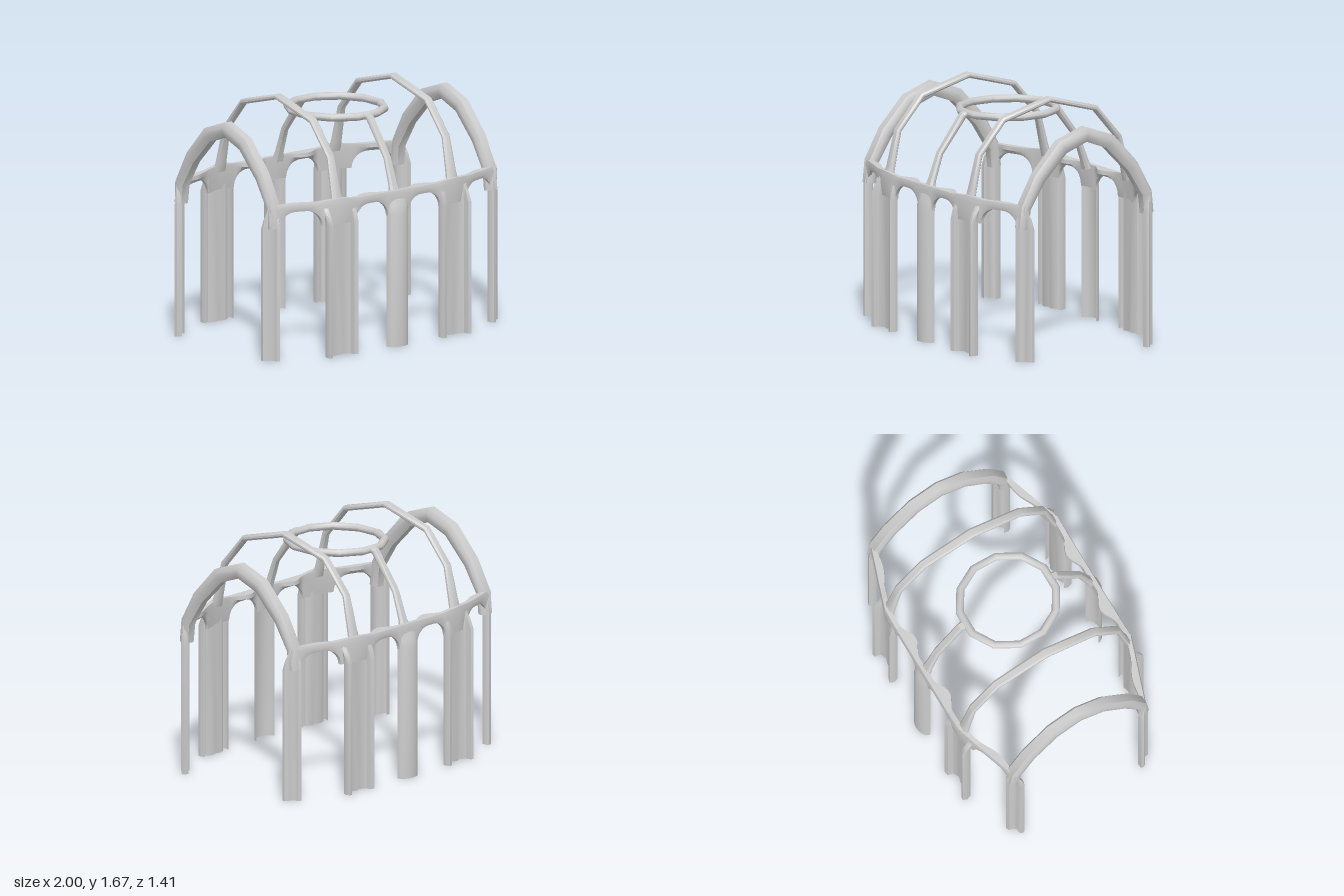
import * as THREE from 'three';
import { toCreasedNormals } from 'three/addons/utils/BufferGeometryUtils.js';

const material = new THREE.MeshStandardMaterial({ color: 0xcccccc, side: THREE.DoubleSide });

// Skin a list of cross-sections (each a list of [x, y, z]); closed sections also get end caps.
function loft(name, sections, closed, crease = 0.7) {
  const n = sections[0].length, pos = sections.flat(2), idx = [];
  for (let i = 0; i < sections.length - 1; i++) {
    for (let j = 0; j < (closed ? n : n - 1); j++) {
      const a = i * n + j, b = i * n + (j + 1) % n;
      idx.push(a, b, b + n, a, b + n, a + n);
    }
  }
  if (closed) {
    const last = (sections.length - 1) * n;
    for (let j = 1; j < n - 1; j++) idx.push(0, j + 1, j, last, last + j, last + j + 1);
  }
  const geo = new THREE.BufferGeometry();
  geo.setAttribute('position', new THREE.Float32BufferAttribute(pos, 3));
  geo.setIndex(idx);
  geo.computeVertexNormals();
  const mesh = new THREE.Mesh(toCreasedNormals(geo, crease), material);
  mesh.name = name;
  return mesh;
}

// Bar with a chamfered section swept along [z, y, width, depth] points in a plane of constant x.
function bar(name, x, path) {
  const profile = [[-1, -0.35], [-0.6, -1], [0.6, -1], [1, -0.35], [1, 0.35], [0.6, 1], [-0.6, 1], [-1, 0.35]];
  const sections = path.map(([z, y, w, d], i) => {
    const p = path[Math.max(i - 1, 0)], q = path[Math.min(i + 1, path.length - 1)];
    const t = new THREE.Vector2(q[0] - p[0], q[1] - p[1]).normalize();
    return profile.map(([u, v]) => [x + u * w / 2, y + v * t.x * d / 2, z - v * t.y * d / 2]);
  });
  return loft(name, sections, true);
}

// Mirror a half path (from z > 0 up to z = 0) into a whole arch.
const wholeArch = half => [...half, ...half.slice(0, -1).reverse().map(([z, ...rest]) => [-z, ...rest])];

// Plan line of the side beam: straight in the middle, folding in towards the ends.
const planZ = x => {
  const a = Math.abs(x);
  return a < 0.49 ? 0.65 : 0.65 - (a - 0.49) * 0.34;
};

// Open-backed column shell whose top draws in to the beam.
function column(name, points) {
  const rows = [[0, 0], [0.9, 0], [0.96, 0.3], [1.0, 0.65], [1.04, 0.95]];
  return loft(name, rows.map(([y, k]) => points.map(([x, z]) => {
    const tx = Math.min(Math.max(x, -0.965), 0.965);
    return [x + (tx - x) * k, y, z + (planZ(tx) - z) * k];
  })), false, 0.9);
}

// Beam with rounded arch openings between the columns and a broad inner lip in each bay.
function beam() {
  const bays = [[-0.9, -0.61], [-0.36, -0.085], [0.085, 0.36], [0.61, 0.9]];
  const steps = 18, r = 0.11, stations = [[-0.965, 0.9, 0]];
  bays.forEach(([a, b], k) => {
    for (let i = 0; i <= steps; i++) {
      const t = (1 - Math.cos(Math.PI * i / steps)) / 2;
      const x = a + (b - a) * t;
      const d = Math.min(x - a, b - x, r);
      const low = 0.895 + r * Math.sqrt(Math.max(0, 1 - ((r - d) / r) ** 2));
      const lip = Math.sin(Math.PI * t) ** 2 * (k === 1 || k === 2 ? 0.05 : 0.02);
      stations.push([x, low, lip]);
    }
    const next = bays[k + 1];
    if (next) stations.push([(b + next[0]) / 2, 0.9, 0]);
  });
  stations.push([0.965, 0.9, 0]);
  const sections = stations.map(([x, low, lip]) => {
    const z = planZ(x), a = Math.abs(x);
    const top = 1.058 + 0.015 * Math.max(0, 1 - Math.abs(a - 0.49) / 0.15);
    const mid = Math.max(1.03, low + 0.012);
    return [
      [x, top, z + 0.012], [x, mid, z + 0.02], [x, low, z + 0.012],
      [x, low, z - 0.012], [x, mid, z - 0.022 - lip], [x, top, z - 0.02 - lip],
    ];
  });
  return loft('beam', sections, true, 0.8);
}

// One long side: five columns, the beam and the centre arm.
function createSide(name) {
  const side = new THREE.Group();
  side.name = name;
  side.add(beam());

  // Bowed centre column
  const bow = [];
  for (let i = 0; i <= 10; i++) {
    const a = Math.PI * (1 - i / 10);
    bow.push([0.087 * Math.cos(a), 0.645 + 0.06 * Math.sin(a)]);
  }
  side.add(column('centreColumn', bow));

  // Fluted columns with a raised rib along each edge
  const fluted = [
    [-0.122, 0.64], [-0.13, 0.67], [-0.12, 0.698], [-0.09, 0.69], [-0.085, 0.655], [-0.045, 0.632],
    [0, 0.645], [0.045, 0.632], [0.085, 0.65], [0.09, 0.69], [0.112, 0.695], [0.122, 0.665], [0.112, 0.635],
  ];
  // Corner columns, hollowed on the outer corner
  const corner = [
    [0.9, 0.49], [0.898, 0.525], [0.91, 0.543], [0.935, 0.535], [0.938, 0.505], [0.955, 0.485],
    [0.982, 0.485], [0.998, 0.47], [0.995, 0.448], [0.96, 0.442],
  ];
  for (const s of [-1, 1]) {
    side.add(column('flutedColumn', fluted.map(([x, z]) => [s * (0.485 + x), z])));
    side.add(column('cornerColumn', corner.map(([x, z]) => [s * x, z])));
  }

  // Arm rising from the beam to the ring
  side.add(bar('ringArm', 0, [
    [0.625, 1.03, 0.085, 0.05], [0.605, 1.09, 0.065, 0.04], [0.545, 1.26, 0.055, 0.035],
    [0.36, 1.5, 0.055, 0.045], [0.31, 1.507, 0.06, 0.045],
  ]));
  return side;
}

export function createModel() {
  const model = new THREE.Group();
  model.name = 'pavilionFrame';

  const back = createSide('backSide');
  back.rotation.y = Math.PI;
  model.add(createSide('frontSide'), back);

  for (const s of [-1, 1]) {
    // Broad arches over both ends
    model.add(bar('endArch', s * 0.92, wholeArch([
      [0.497, 0.9, 0.09, 0.075], [0.482, 1.04, 0.1, 0.075], [0.37, 1.23, 0.095, 0.09],
      [0.187, 1.42, 0.095, 0.1], [0, 1.488, 0.095, 0.1],
    ])));
    // Slender taller arches
    model.add(bar('slenderArch', s * 0.49, wholeArch([
      [0.63, 1.03, 0.095, 0.045], [0.61, 1.1, 0.08, 0.04], [0.555, 1.335, 0.06, 0.035],
      [0.368, 1.55, 0.06, 0.037], [0, 1.65, 0.066, 0.037],
    ])));
  }

  // Twelve-sided ring overhead
  const ringGeo = new THREE.TorusGeometry(0.32, 0.027, 8, 12);
  ringGeo.rotateZ(Math.PI / 12).rotateX(Math.PI / 2);
  const ring = new THREE.Mesh(toCreasedNormals(ringGeo, 0.9), material);
  ring.name = 'ring';
  ring.position.y = 1.508;
  ring.scale.z = 1.04;
  model.add(ring);
  return model;
}
